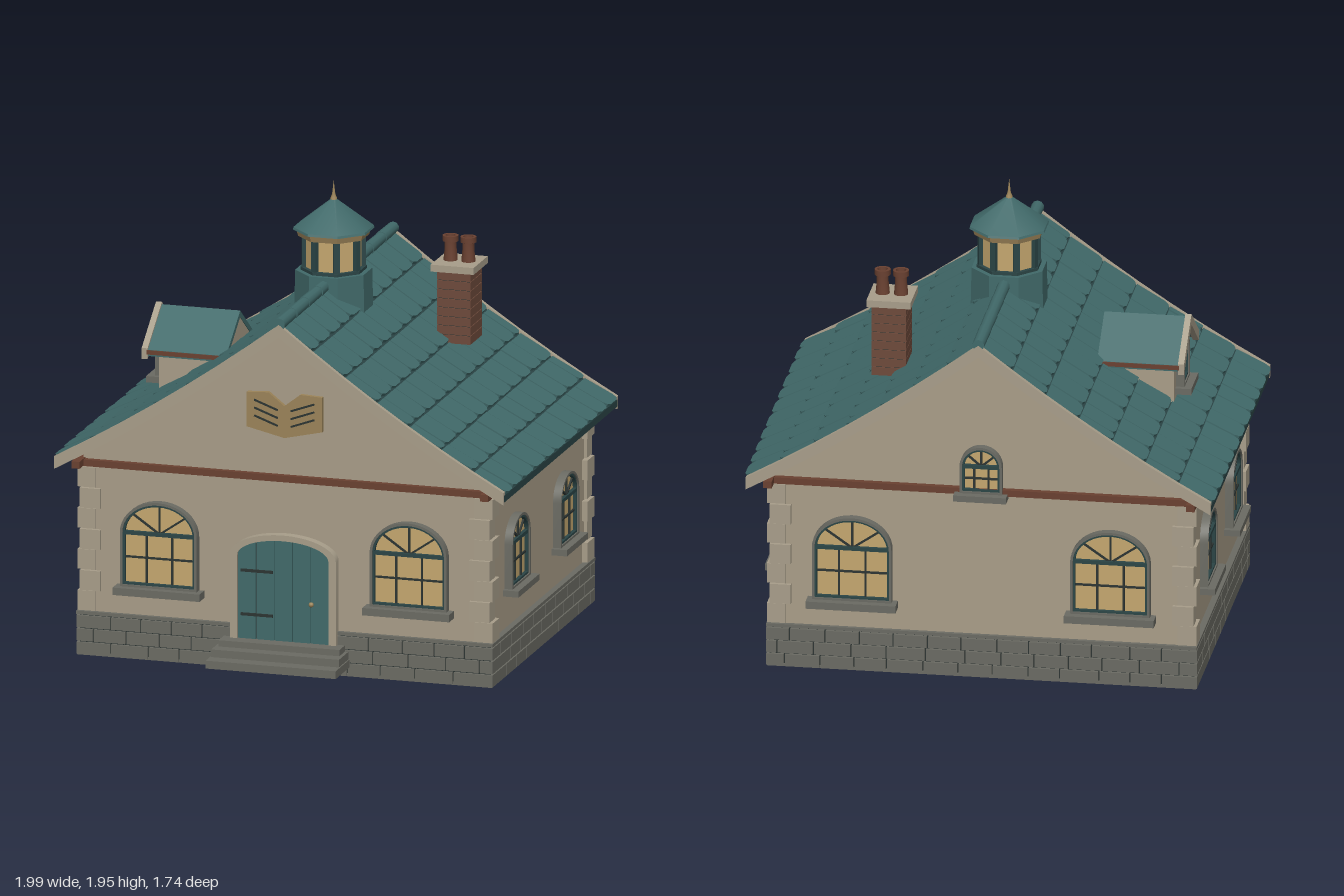
import * as THREE from 'three';
import { mergeGeometries, toCreasedNormals } from 'three/addons/utils/BufferGeometryUtils.js';

const mat = (name, color) => {
  const m = new THREE.MeshStandardMaterial({ color });
  m.name = name;
  return m;
};
const M = {
  wall: mat('plaster', 0xa99d88), trim: mat('paleStone', 0xa89e8a), stone: mat('greyStone', 0x6b6b63),
  teal: mat('teal', 0x416a6a), under: mat('darkTeal', 0x2b4546), wood: mat('brownWood', 0x6a4131),
  brick: mat('brick', 0x6e4a3b), glass: mat('warmGlass', 0xc5a76f), brass: mat('brass', 0x9c8459),
  iron: mat('darkIron', 0x2c3432),
};
const ZC = -0.05, WX = 0.885, WZ = 0.71;      // house centre in z, wall half sizes
const RX = 0.985, RZ0 = -0.865, RZ1 = 0.76;   // roof half width and ends

const add = (parent, name, geo, material) => {
  const m = new THREE.Mesh(geo, material);
  m.name = name;
  parent.add(m);
  return m;
};
// Box geometry given by its two extreme corners
const boxGeo = (x0, y0, z0, x1, y1, z1) =>
  new THREE.BoxGeometry(x1 - x0, y1 - y0, z1 - z0).translate((x0 + x1) / 2, (y0 + y1) / 2, (z0 + z1) / 2);
const box = (p, name, material, ...c) => add(p, name, boxGeo(...c), material);
const extrude = (shape, z0, z1) =>
  new THREE.ExtrudeGeometry(shape, { depth: z1 - z0, bevelEnabled: false, curveSegments: 10 }).translate(0, 0, z0);
const poly = (pts) => new THREE.Shape(pts.map(([x, y]) => new THREE.Vector2(x, y)));
const hash = (n) => { const s = Math.sin(n * 12.9898) * 43758.5453; return s - Math.floor(s); };
// Cuts a length into pieces of about w, with staggered joints
const runs = (a, b, w, offset, jitter, seed) => {
  const out = [];
  let p = a, q = a + w * offset;
  for (let i = 0; p < b - 0.005; i++) {
    if (b - q < w * 0.25) q = b;
    out.push([p, Math.min(q, b)]);
    p = q;
    q += w * (1 + jitter * (hash(seed + i) - 0.5));
  }
  return out;
};

// Slightly sagging roof line
const roofY = (x) => { const t = Math.abs(x) / RX; return 0.86 + 0.65 * (1 - t) - 0.112 * t * (1 - t); };
const roofStrip = (up, down, z0, z1) => {
  const xs = Array.from({ length: 15 }, (_, i) => RX * (i / 7 - 1));
  return extrude(poly([...xs.map((x) => [x, roofY(x) - down]), ...xs.reverse().map((x) => [x, roofY(x) + up])]), z0, z1);
};

const archShape = (w, spring, rise, y0 = 0) => {
  const s = new THREE.Shape();
  s.moveTo(-w / 2, y0);
  s.lineTo(w / 2, y0);
  s.lineTo(w / 2, spring);
  s.absellipse(0, spring, w / 2, rise, 0, Math.PI, false);
  s.closePath();
  return s;
};
const archFrame = (w, spring, rise, t, y0, z0, z1) => {
  const s = archShape(w, spring, rise, y0);
  s.holes.push(archShape(w - 2 * t, spring, rise - t, y0 + t));
  return toCreasedNormals(extrude(s, z0, z1), 0.6);
};

// Arched window facing +z, standing on y = 0
function makeWindow(name, w, spring, rise, cols, sillH = 0.03) {
  const g = new THREE.Group(), b = 0.004;
  g.name = name;
  add(g, 'glass', extrude(archShape(w - 0.01, spring, rise - 0.005), 0, 0.014), M.glass);
  add(g, 'outerFrame', archFrame(w, spring, rise, 0.011, 0, 0, 0.036), M.stone);
  add(g, 'innerFrame', archFrame(w - 0.02, spring, rise - 0.01, 0.01, 0.01, 0, 0.03), M.under);
  for (let i = 1; i < cols; i++) {
    const x = -w / 2 + (w * i) / cols;
    box(g, 'verticalBar', M.iron, x - b, 0, 0.005, x + b, spring, 0.022);
  }
  box(g, 'crossBar', M.iron, -w / 2 + 0.01, spring * 0.55 - b, 0.005, w / 2 - 0.01, spring * 0.55 + b, 0.022);
  box(g, 'transom', M.under, -w / 2 + 0.01, spring - 0.008, 0.005, w / 2 - 0.01, spring + 0.008, 0.03);
  for (const a of [0.7, Math.PI / 2, Math.PI - 0.7]) {
    const ex = Math.cos(a) * (w / 2 - 0.01), ey = Math.sin(a) * (rise - 0.01), len = Math.hypot(ex, ey);
    const bar = box(g, 'fanBar', M.iron, 0, -b, 0.005, len, b, 0.022);
    bar.position.y = spring;
    bar.rotation.z = Math.atan2(ey, ex);
  }
  box(g, 'sill', M.stone, -w / 2 - 0.022, -sillH, 0, w / 2 + 0.022, 0.002, 0.068);
  return g;
}

function makePlinth(g) {
  const px = 0.912, pz = 0.728;
  box(g, 'plinthFoot', M.stone, -px + 0.004, 0, ZC - pz + 0.004, px - 0.004, 0.012, ZC + pz - 0.004);
  box(g, 'mortar', M.iron, -px + 0.012, 0.01, ZC - pz + 0.012, px - 0.012, 0.18, ZC + pz - 0.012);
  box(g, 'plinthCap', M.stone, -px, 0.176, ZC - pz, px, 0.19, ZC + pz);
  const parts = [];
  for (let r = 0; r < 3; r++) {
    const y0 = 0.003 + r * 0.058, y1 = y0 + 0.052, off = r % 2 ? 0.5 : 1;
    for (const s of [-1, 1]) {
      for (const [a, b] of runs(-px, px, 0.15, off, 0.25, r * 31 + s)) {
        const z = ZC + s * (pz - 0.015);
        parts.push(boxGeo(a + 0.003, y0, z - 0.015, b - 0.003, y1, z + 0.015));
      }
      for (const [a, b] of runs(ZC - pz, ZC + pz, 0.15, 1.5 - off, 0.25, r * 17 + s)) {
        const x = s * (px - 0.015);
        parts.push(boxGeo(x - 0.015, y0, a + 0.003, x + 0.015, y1, b - 0.003));
      }
    }
  }
  add(g, 'plinthBlocks', mergeGeometries(parts), M.stone);
}

function makeWalls(g) {
  box(g, 'walls', M.wall, -WX, 0.17, ZC - WZ, WX, 0.84, ZC + WZ);
  const xs = Array.from({ length: 13 }, (_, i) => WX * (1 - i / 6));
  add(g, 'gables', extrude(poly([[-WX, 0.83], [WX, 0.83], ...xs.map((x) => [x, roofY(x) - 0.025])]), ZC - WZ, ZC + WZ), M.wall);
  // Corner stones
  const parts = [];
  for (const sx of [-1, 1]) for (const sz of [-1, 1]) for (let i = 0; i < 7; i++) {
    const odd = i % 2, ox = odd ? 0.898 : 0.91, oz = odd ? 0.726 : 0.719;
    const lx = odd ? 0.09 : 0.08, lz = odd ? 0.075 : 0.095;
    parts.push(new THREE.BoxGeometry(lx, 0.086, lz)
      .translate(sx * (ox - lx / 2), 0.235 + i * 0.0893, ZC + sz * (oz - lz / 2)));
  }
  add(g, 'cornerStones', mergeGeometries(parts), M.trim);
  // Timber band on the gable ends and eaves beams along the sides
  for (const s of [-1, 1]) {
    const z = ZC + s * 0.72, x = s * 0.895;
    box(g, 'gableBand', M.wood, -0.91, 0.822, z - 0.015, 0.91, 0.85, z + 0.015);
    box(g, 'eavesBeam', M.wood, x - 0.018, 0.825, RZ0 + 0.015, x + 0.018, 0.855, RZ1 - 0.015);
    box(g, 'eavesBoard', M.wood, s * 0.972 - 0.012, 0.83, RZ0 + 0.015, s * 0.972 + 0.012, 0.86, RZ1 - 0.015);
  }
}

function makeRoof(g) {
  add(g, 'roofDeck', roofStrip(0, 0.03, RZ0 + 0.01, RZ1 - 0.01), M.under);
  add(g, 'frontRake', roofStrip(0.014, 0.04, RZ1 - 0.022, RZ1), M.trim);
  add(g, 'backRake', roofStrip(0.014, 0.04, RZ0, RZ0 + 0.022), M.trim);
  // Overlapping tiles with rounded lower corners
  const parts = [], rows = 7, za = RZ0 + 0.02, zb = RZ1 - 0.02;
  for (const s of [-1, 1]) for (let r = 0; r < rows; r++) {
    const x0 = RX * (1 - r / rows) + (r ? 0 : 0.008), x1 = RX * (1 - (r + 1) / rows);
    const y0 = roofY(x0) + 0.012, y1 = roofY(x1) + 0.001;
    const len = Math.hypot(x0 - x1, y1 - y0), c = (x0 - x1) / len, d = (y1 - y0) / len;
    const basis = new THREE.Matrix4().makeBasis(new THREE.Vector3(0, 0, -s),
      new THREE.Vector3(-s * c, d, 0), new THREE.Vector3(s * d, c, 0));
    for (const [a, b] of runs(za, zb, 0.145, r % 2 ? 0.5 : 1, 0.3, r * 13 + s * 7)) {
      const h = (b - a) / 2 - 0.004, k = Math.min(0.03, h * 0.6), m = k * 0.3;
      const tile = poly([[-h, k], [-h + m, m], [-h + k, 0], [h - k, 0], [h - m, m], [h, k], [h, len], [-h, len]]);
      const y = 0.004 * hash(r * 50 + a * 9);
      parts.push(extrude(tile, -0.008, 0.004).applyMatrix4(
        basis.clone().setPosition(s * x0, y0 + y, (a + b) / 2)));
    }
  }
  add(g, 'roofTiles', mergeGeometries(parts), M.teal);
  // Ridge caps
  for (let i = 0; i < 9; i++) {
    const cap = add(g, 'ridgeCap', new THREE.CylinderGeometry(0.027, 0.025, 0.178, 10), M.teal);
    cap.rotation.x = Math.PI / 2;
    cap.position.set(0, 1.525, RZ0 + 0.09 + i * 0.1805);
  }
}

function makeDoor(g) {
  const d = new THREE.Group();
  d.name = 'door';
  d.position.set(0, 0.125, ZC + WZ);
  g.add(d);
  const topY = (x) => 0.375 + 0.075 * Math.sqrt(Math.max(0, 1 - (x / 0.205) ** 2));
  add(d, 'doorBacking', extrude(archShape(0.42, 0.375, 0.08), 0, 0.022), M.iron);
  const frame = archShape(0.465, 0.37, 0.1);
  frame.holes.push(archShape(0.4, 0.37, 0.075, 0.001));
  add(d, 'doorSurround', toCreasedNormals(extrude(frame, 0, 0.04), 0.6), M.trim);
  for (let i = 0; i < 5; i++) {
    const a = -0.2 + i * 0.08 + 0.002, b = a + 0.076, m = (a + b) / 2;
    add(d, 'plank', extrude(poly([[a, 0], [b, 0], [b, topY(b)], [m, topY(m)], [a, topY(a)]]), 0.01, 0.032), M.teal);
  }
  for (const y of [0.115, 0.305]) box(d, 'hinge', M.iron, -0.185, y - 0.006, 0.03, -0.045, y + 0.006, 0.038);
  add(d, 'knob', new THREE.SphereGeometry(0.011, 12, 8).translate(0.125, 0.18, 0.042), M.brass);
  [[0.285, 0.04, 0.872], [0.28, 0.073, 0.81], [0.265, 0.1, 0.755]].forEach(([x, y, z]) =>
    box(g, 'step', M.stone, -x, y, 0.67, x, y + 0.034, z));
}

// Open book plate on the front gable
function makePlaque(g) {
  const z = ZC + WZ;
  add(g, 'bookPlaque', extrude(poly([[-0.165, 1.05], [0, 1.012], [0.165, 1.05], [0.165, 1.2], [0.07, 1.205],
    [0, 1.15], [-0.07, 1.205], [-0.165, 1.2]]), z, z + 0.018), M.brass);
  for (const s of [-1, 1]) for (let i = 0; i < 3; i++) {
    const bar = box(g, 'plaqueGroove', M.iron, -0.055, -0.004, 0, 0.055, 0.004, 0.006);
    bar.position.set(s * 0.08, 1.082 + i * 0.034, z + 0.016);
    bar.rotation.z = s * 0.35;
  }
}

function makeCupola(g) {
  const c = new THREE.Group();
  c.name = 'cupola';
  c.position.set(0, 0, -0.02);
  g.add(c);
  const oct = (name, rt, rb, y0, y1, m) => add(c, name, toCreasedNormals(
    new THREE.CylinderGeometry(rt, rb, y1 - y0, 8).rotateY(Math.PI / 8).translate(0, (y0 + y1) / 2, 0), 0.5), m);
  oct('cupolaBase', 0.162, 0.166, 1.4, 1.565, M.teal);
  oct('cupolaFoot', 0.14, 0.14, 1.565, 1.578, M.under);
  oct('lanternGlass', 0.122, 0.122, 1.57, 1.72, M.glass);
  for (let i = 0; i < 8; i++) {
    const a = (i + 0.5) * Math.PI / 4;
    const post = box(c, 'lanternPost', M.under, -0.013, 1.57, -0.013, 0.013, 1.72, 0.013);
    post.position.set(Math.sin(a) * 0.121, 0, Math.cos(a) * 0.121);
    post.rotation.y = a;
  }
  oct('lanternCornice', 0.158, 0.15, 1.712, 1.742, M.brass);
  oct('cupolaEave', 0.168, 0.172, 1.74, 1.75, M.teal);
  oct('cupolaRoof', 0.014, 0.17, 1.75, 1.868, M.teal);
  add(c, 'finial', new THREE.LatheGeometry([[0.016, 1.862], [0.013, 1.875], [0.007, 1.89], [0, 1.95]]
    .map(([x, y]) => new THREE.Vector2(x, y)), 10), M.brass);
}

function makeChimney(g) {
  box(g, 'chimneyCore', M.iron, 0.374, 1.21, -0.451, 0.511, 1.52, -0.294);
  for (let i = 0; i < 8; i++) {
    const y = 1.205 + i * 0.039;
    box(g, 'brickCourse', M.brick, 0.37, y, -0.455, 0.515, y + 0.036, -0.29);
  }
  box(g, 'chimneyCap', M.trim, 0.347, 1.515, -0.472, 0.535, 1.545, -0.272);
  const pot = [[0.03, 1.545], [0.025, 1.6], [0.025, 1.625], [0.034, 1.628], [0.034, 1.652], [0.022, 1.652], [0.02, 1.6], [0, 1.6]];
  for (const x of [0.403, 0.481]) add(g, 'chimneyPot', toCreasedNormals(
    new THREE.LatheGeometry(pot.map(([r, y]) => new THREE.Vector2(r, y)), 14), 0.6).translate(x, 0, -0.373), M.wood);
}

function makeDormer(g) {
  const d = new THREE.Group();
  d.name = 'dormer';
  d.position.set(0, 0, 0.02);
  d.rotation.y = -Math.PI / 2;
  g.add(d);
  const chevron = (up, down, w) => {
    const e = 1.36 - w * 0.73;
    return poly([[-w, e - down], [0, 1.36 - down], [w, e - down], [w, e + up], [0, 1.36 + up], [-w, e + up]]);
  };
  add(d, 'dormerWalls', extrude(poly([[-0.135, 1], [0.135, 1], [0.135, 1.25], [0, 1.345], [-0.135, 1.25]]), 0.4, 0.712), M.wall);
  add(d, 'dormerRoof', extrude(chevron(0.002, 0.025, 0.2), 0.397, 0.745), M.teal);
  add(d, 'dormerRake', extrude(chevron(0.012, 0.035, 0.204), 0.74, 0.766), M.trim);
  for (const s of [-1, 1]) box(d, 'dormerFascia', M.wood, s * 0.197 - 0.009, 1.197, 0.4, s * 0.197 + 0.009, 1.215, 0.745);
  const w = makeWindow('dormerWindow', 0.15, 0.13, 0.075, 2, 0.025);
  w.position.set(0, 1.07, 0.712);
  d.add(w);
}

export function createModel() {
  const g = new THREE.Group();
  g.name = 'cottage';
  [makePlinth, makeWalls, makeRoof, makeDoor, makePlaque, makeCupola, makeChimney, makeDormer].forEach((f) => f(g));
  const place = (w, x, y, z, ry) => { w.position.set(x, y, z); w.rotation.y = ry; g.add(w); };
  for (const s of [-1, 1]) {
    place(makeWindow('frontWindow', 0.337, 0.235, 0.14, 3), s * 0.547, 0.315, ZC + WZ, 0);
    place(makeWindow('backWindow', 0.337, 0.235, 0.14, 3), s * 0.547, 0.315, ZC - WZ, Math.PI);
    for (const z of [0.293, -0.393]) {
      place(makeWindow('sideWindow', 0.256, 0.195, 0.105, 3, 0.025), s * WX, 0.36, z, s * Math.PI / 2);
    }
  }
  place(makeWindow('gableWindow', 0.18, 0.12, 0.09, 3, 0.025), 0, 0.83, ZC - WZ - 0.003, Math.PI);
  return g;
}
